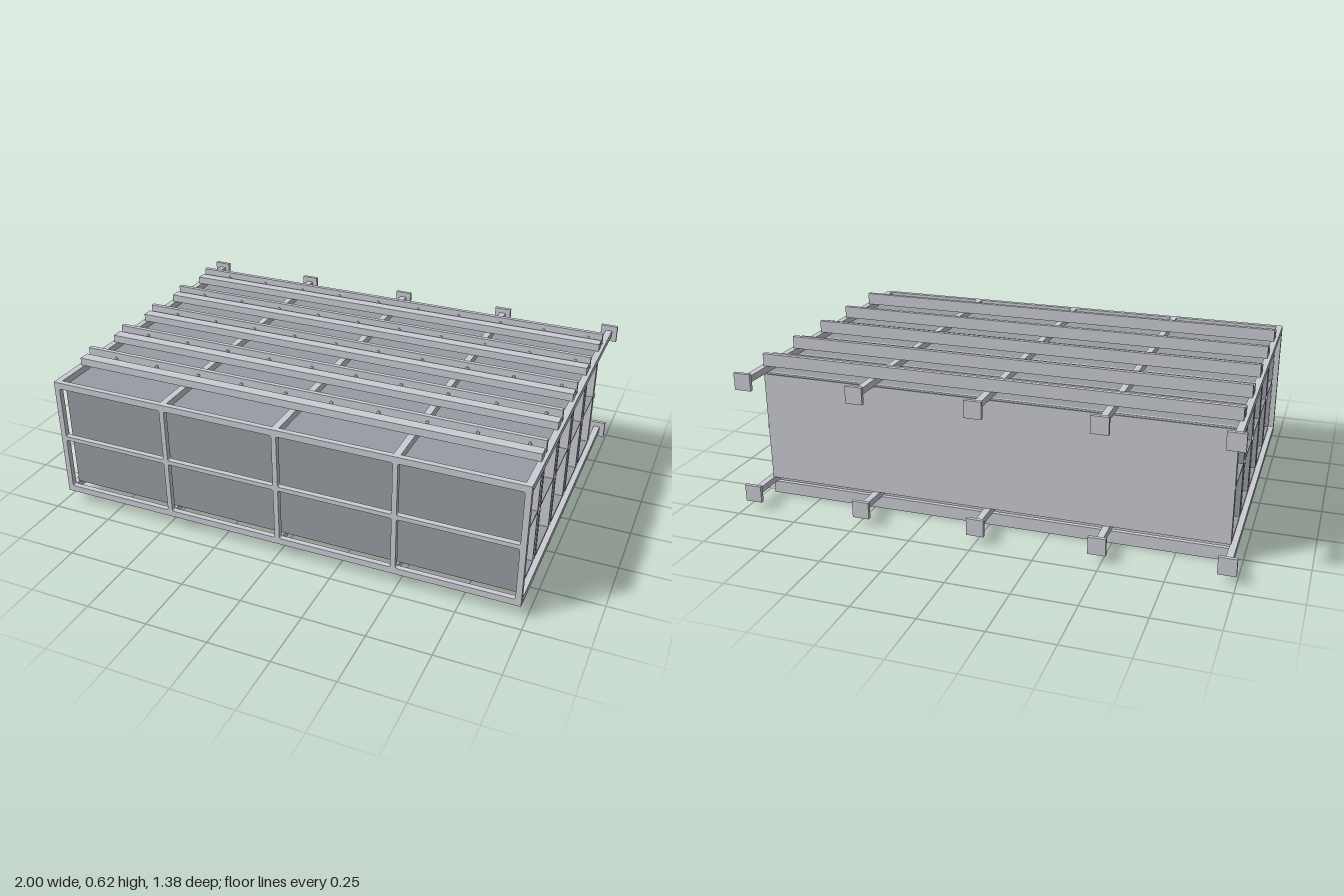
import * as THREE from 'three';

const MID = 0.31;        // mirror height of the frame
const PITCH = 0.241;     // spacing of the bays along z
const COLUMNS = [-0.964, -0.482, 0, 0.482, 0.964];

export function createModel() {
  const model = new THREE.Group();
  const steel = new THREE.MeshStandardMaterial({ color: 0xcbced6 });
  steel.name = 'light steel';
  const board = new THREE.MeshStandardMaterial({ color: 0x989ca3 });
  board.name = 'grey board';

  // box given by its limits on each axis
  function box(parent, name, mat, x0, x1, y0, y1, z0, z1) {
    const mesh = new THREE.Mesh(new THREE.BoxGeometry(x1 - x0, y1 - y0, z1 - z0), mat);
    mesh.position.set((x0 + x1) / 2, (y0 + y1) / 2, (z0 + z1) / 2);
    mesh.name = name;
    parent.add(mesh);
  }

  // box mirrored above and below the middle height
  function pair(parent, name, mat, x0, x1, d0, d1, z0, z1) {
    box(parent, 'upper ' + name, mat, x0, x1, MID + d0, MID + d1, z0, z1);
    box(parent, 'lower ' + name, mat, x0, x1, MID - d1, MID - d0, z0, z1);
  }

  function roundedHole(x0, x1, y0, y1, r) {
    const p = new THREE.Path();
    p.moveTo(x0 + r, y0);
    p.lineTo(x1 - r, y0);
    p.quadraticCurveTo(x1, y0, x1, y0 + r);
    p.lineTo(x1, y1 - r);
    p.quadraticCurveTo(x1, y1, x1 - r, y1);
    p.lineTo(x0 + r, y1);
    p.quadraticCurveTo(x0, y1, x0, y1 - r);
    p.lineTo(x0, y0 + r);
    p.quadraticCurveTo(x0, y0, x0 + r, y0);
    return p;
  }

  // front grid with eight openings
  const outline = new THREE.Shape();
  outline.moveTo(-0.977, MID - 0.256);
  outline.lineTo(0.977, MID - 0.256);
  outline.lineTo(0.977, MID + 0.256);
  outline.lineTo(-0.977, MID + 0.256);
  outline.closePath();
  for (let i = 0; i < 4; i++) {
    const x0 = COLUMNS[i] + 0.01;
    const x1 = COLUMNS[i + 1] - 0.01;
    outline.holes.push(roundedHole(x0, x1, MID + 0.009, MID + 0.229, 0.009));
    outline.holes.push(roundedHole(x0, x1, MID - 0.229, MID - 0.009, 0.009));
  }
  const grid = new THREE.Mesh(
    new THREE.ExtrudeGeometry(outline, { depth: 0.022, bevelEnabled: false, curveSegments: 4 }), steel);
  grid.position.z = 0.668;
  grid.name = 'frontGrid';
  model.add(grid);

  // long rails with square end plates at the back
  for (const x of COLUMNS) {
    pair(model, 'rail', steel, x - 0.0135, x + 0.0135, 0.229, 0.256, -0.677, 0.67);
    pair(model, 'end plate', steel, x - 0.035, x + 0.035, 0.207, 0.277, -0.69, -0.675);
  }

  // five repeated bays
  const boltGeo = new THREE.CylinderGeometry(0.007, 0.007, 0.006, 10).rotateX(Math.PI / 2);
  for (let b = 0; b < 5; b++) {
    const bay = new THREE.Group();
    bay.name = 'bay' + (b + 1);
    bay.position.z = -b * PITCH;
    model.add(bay);

    // cross beams above and below the rails
    pair(bay, 'wide beam', steel, -0.965, 0.965, 0.256, 0.288, 0.475, 0.52);
    pair(bay, 'thin beam', steel, -0.965, 0.965, 0.256, 0.308, 0.439, 0.457);

    // closed case: front board, top and bottom, shelf and dividers
    const low = MID - 0.229, high = MID + 0.229;
    box(bay, 'frontBoard', board, -0.955, 0.955, low, high, 0.641, 0.648);
    pair(bay, 'cover', board, -0.955, 0.955, 0.222, 0.229, 0.452, 0.641);
    box(bay, 'shelf', board, -0.955, 0.955, MID - 0.003, MID + 0.003, 0.452, 0.641);
    for (const x of COLUMNS.slice(1, 4)) {
      box(bay, 'divider', board, x - 0.003, x + 0.003, MID - 0.222, MID + 0.222, 0.452, 0.641);
    }
    box(bay, 'rearBoard', steel, -0.955, 0.955, low, high, 0.441, 0.452);
    box(bay, 'backSheet', steel, -0.955, 0.955, low, high, 0.42, 0.426);
    box(bay, 'middleSpacer', steel, -0.96, 0.96, MID - 0.008, MID + 0.008, 0.425, 0.433);

    // bolt heads on the thin beams
    for (let k = 0; k < 10; k++) {
      for (const s of [-1, 1]) {
        const bolt = new THREE.Mesh(boltGeo, steel);
        bolt.position.set(-0.832 + k * 0.193, MID + s * 0.283, 0.459);
        bolt.name = 'bolt';
        bay.add(bolt);
      }
    }
  }
  return model;
}
